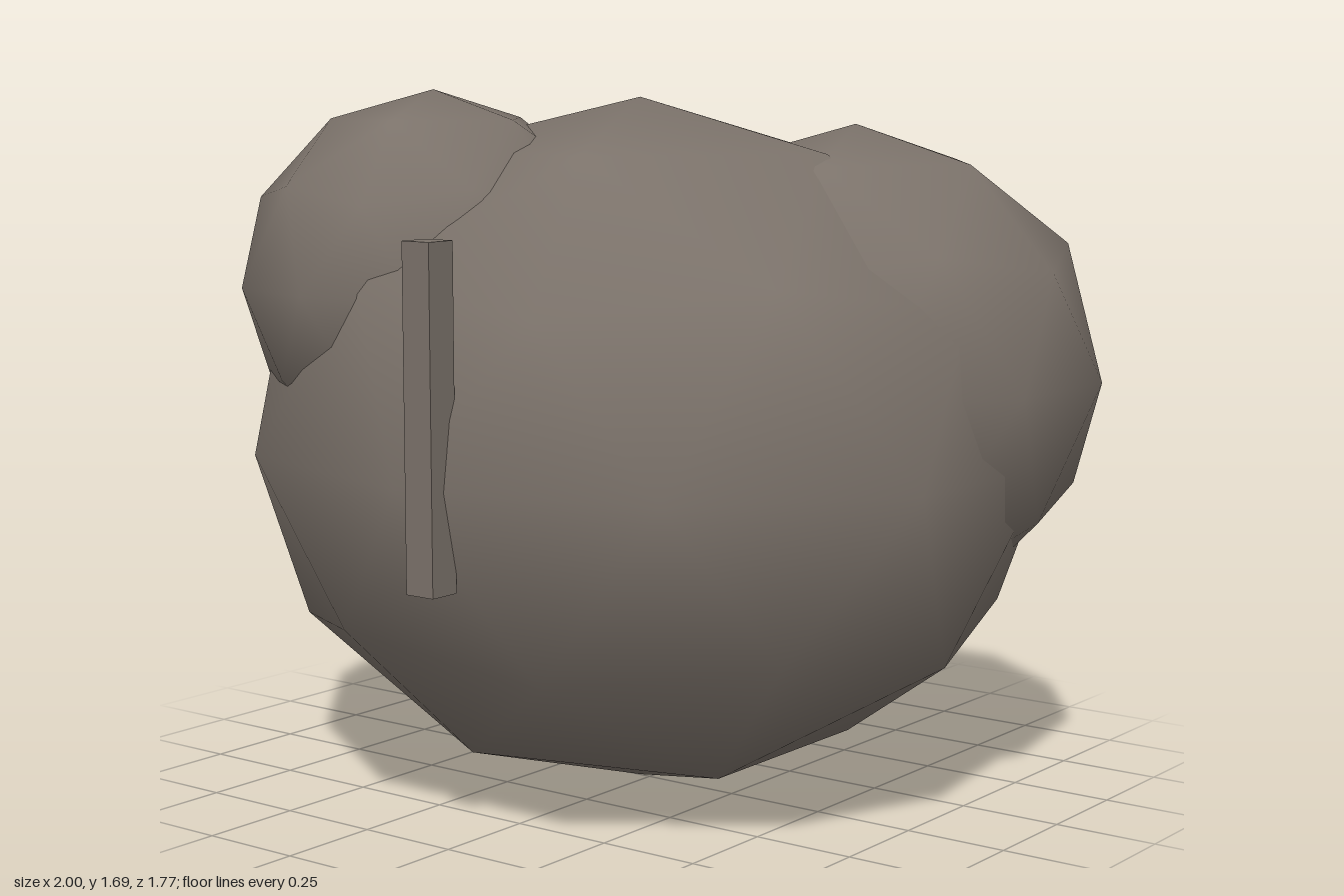
import * as THREE from 'three';

const stone = new THREE.MeshStandardMaterial({ color: 0x7b726a });
stone.name = 'stone';

// Smooth 80-sided boulder with a vertex at each pole, stretched to an ellipsoid
function boulder(name, center, radii) {
  const geo = new THREE.IcosahedronGeometry(1, 1);
  geo.rotateX(-Math.atan((1 + Math.sqrt(5)) / 2));
  geo.rotateY(Math.PI / 2);
  geo.scale(...radii);
  const mesh = new THREE.Mesh(geo, stone);
  mesh.name = name;
  mesh.position.set(...center);
  return mesh;
}

export function createModel() {
  const group = new THREE.Group();
  group.name = 'rockCluster';

  // Large body with two lumps growing out of its shoulders
  group.add(
    boulder('mainBoulder', [-0.03, 0.838, -0.003], [1.02, 0.836, 0.884]),
    boulder('frontRightLump', [-0.413, 1.228, 0.31], [0.472, 0.464, 0.462]),
    boulder('backLeftLump', [0.432, 1.02, -0.237], [0.597, 0.592, 0.592])
  );

  // Narrow upright ridge on the front face
  const ridge = new THREE.Mesh(new THREE.BoxGeometry(0.077, 0.77, 0.077), stone);
  ridge.name = 'frontRidge';
  ridge.position.set(0.048, 0.996, 0.848);
  group.add(ridge);

  return group;
}
